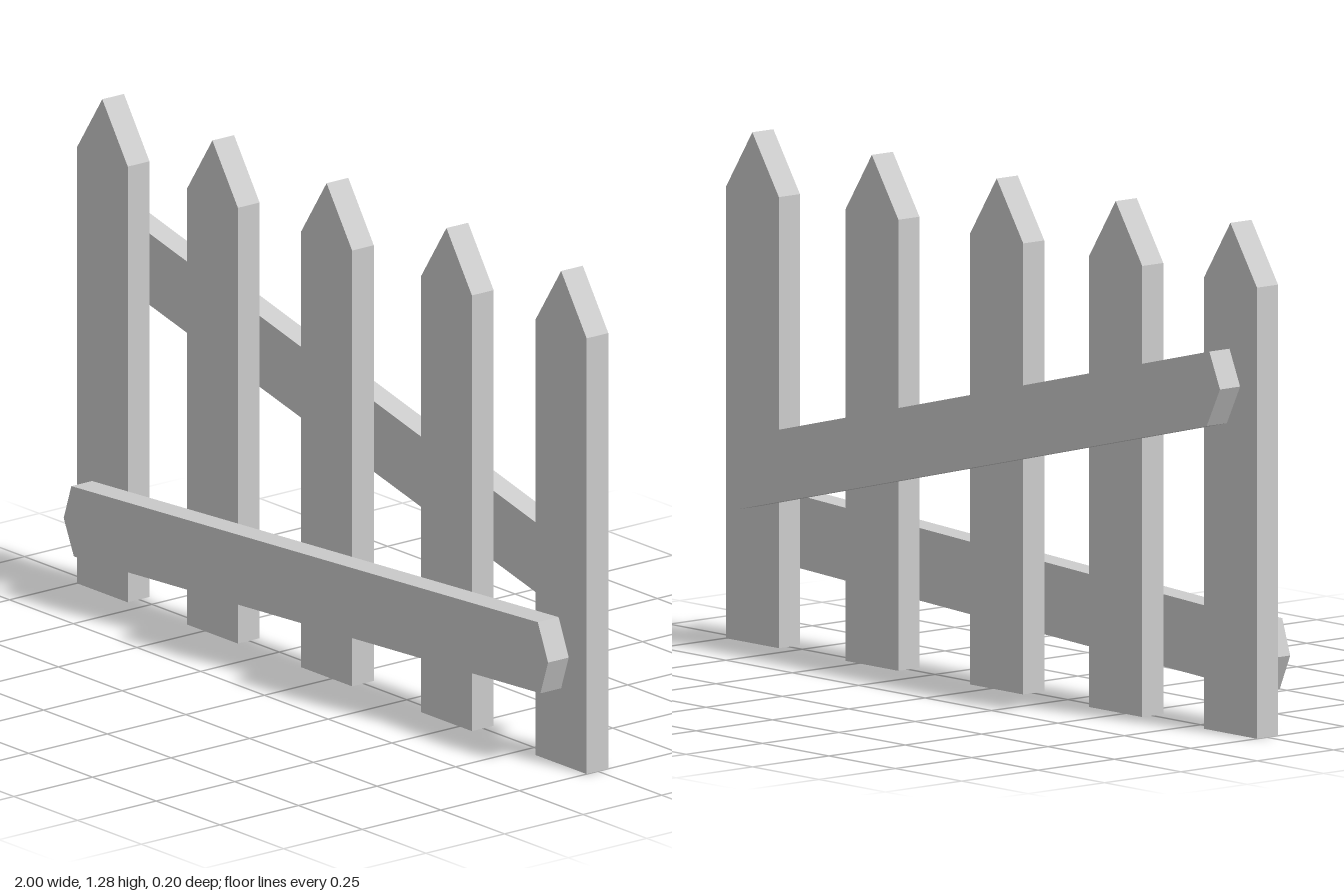
import * as THREE from 'three';

const material = new THREE.MeshStandardMaterial({ color: 0xcccccc, flatShading: true });

// Flat board cut from an outline, spanning z0 to z1
function board(name, outline, z0, z1) {
  const shape = new THREE.Shape(outline.map(([x, y]) => new THREE.Vector2(x, y)));
  const geometry = new THREE.ExtrudeGeometry(shape, { depth: z1 - z0, bevelEnabled: false });
  geometry.translate(0, 0, z0);
  const mesh = new THREE.Mesh(geometry, material);
  mesh.name = name;
  return mesh;
}

export function createModel() {
  const fence = new THREE.Group();
  fence.name = 'picketFence';

  // Pointed upright pickets, slightly unevenly spaced
  const halfWidth = 0.1, shoulder = 1.13, tip = 1.28;
  const picketOutline = [
    [-halfWidth, 0], [halfWidth, 0], [halfWidth, shoulder], [0, tip], [-halfWidth, shoulder],
  ];
  [-0.9, -0.468, -0.02, 0.45, 0.9].forEach((x, i) => {
    const picket = board(`picket${i + 1}`, picketOutline, -0.033, 0.036);
    picket.position.x = x;
    fence.add(picket);
  });

  // Low rail on the front, rising towards the left end
  fence.add(board('frontRail', [
    [-0.93, 0.1], [0.9, 0.198], [0.93, 0.285], [0.89, 0.38], [-0.94, 0.28], [-0.97, 0.19],
  ], 0.036, 0.102));

  // Steep rail on the back, falling towards the left end
  fence.add(board('backRail', [
    [-0.89, 0.777], [0.88, 0.345], [0.905, 0.415], [0.89, 0.523], [-0.9, 0.965], [-0.94, 0.875],
  ], -0.102, -0.036));

  return fence;
}
